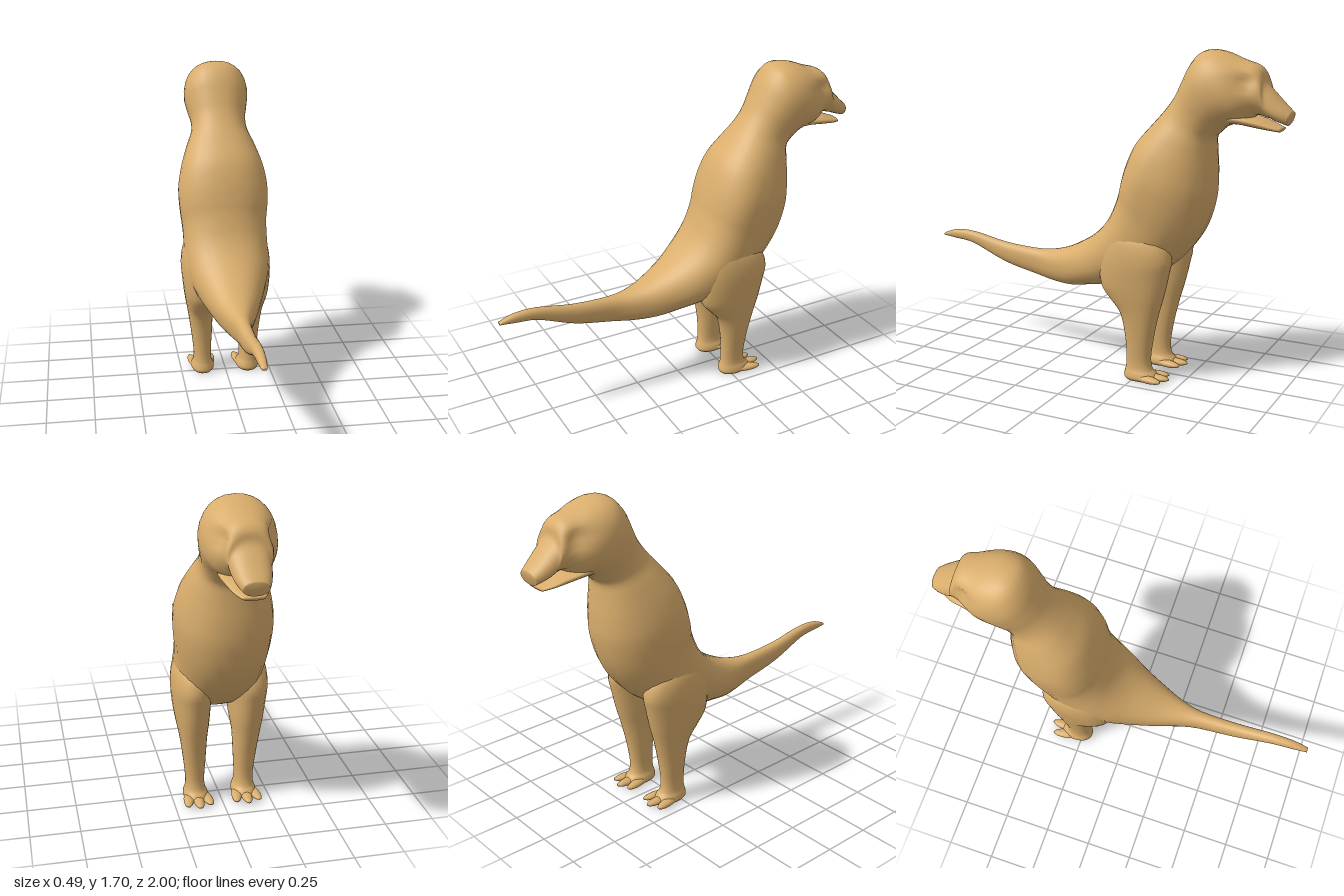
import * as THREE from 'three';

const SIDES = 28, STEPS = 4;

// Smooth skin through oval rings: [z, y of upper/back edge, z, y of lower/front edge,
// half width, where the widest point lies between the edges (0..1), x centre]
function loft(rings, deform) {
  const pts = [], index = [];
  const cr = (a, b, c, d, t) => 0.5 * (2 * b + (c - a) * t + (2 * a - 5 * b + 4 * c - d) * t * t + (3 * b - a - 3 * c + d) * t * t * t);
  const count = (rings.length - 1) * STEPS + 1;
  const at = i => rings[Math.max(0, Math.min(rings.length - 1, i))];
  const soft = v => Math.sign(v) * Math.pow(Math.abs(v), 0.9);
  const caps = [];
  for (let s = 0; s < count; s++) {
    const i = Math.floor(s / STEPS), t = (s % STEPS) / STEPS;
    const [zt, yt, zb, yb, w, bias, xc] = at(i).map((v, k) => cr(at(i - 1)[k], v, at(i + 1)[k], at(i + 2)[k], t));
    const cz = zt + (zb - zt) * bias, cy = yt + (yb - yt) * bias;
    for (let j = 0; j < SIDES; j++) {
      const a = j / SIDES * Math.PI * 2, c = soft(Math.cos(a)), k = Math.abs(c);
      const ez = c > 0 ? zt : zb, ey = c > 0 ? yt : yb;
      const p = new THREE.Vector3(xc + w * soft(Math.sin(a)), cy + (ey - cy) * k, cz + (ez - cz) * k);
      if (deform) deform(p);
      pts.push(p.x, p.y, p.z);
    }
    if (s === 0 || s === count - 1) caps.push([xc, cy, cz]);
  }
  for (let s = 0; s < count - 1; s++) for (let j = 0; j < SIDES; j++) {
    const a = s * SIDES + j, b = s * SIDES + (j + 1) % SIDES;
    index.push(a, b, a + SIDES, b, b + SIDES, a + SIDES);
  }
  // closed ends
  const first = count * SIDES, last = first + 1, end = (count - 1) * SIDES;
  pts.push(...caps[0], ...caps[1]);
  for (let j = 0; j < SIDES; j++) {
    const n = (j + 1) % SIDES;
    index.push(first, n, j, last, end + j, end + n);
  }
  const g = new THREE.BufferGeometry();
  g.setAttribute('position', new THREE.Float32BufferAttribute(pts, 3));
  g.setIndex(index);
  g.computeVertexNormals();
  return g;
}

// tail tip to neck
const bodyRings = [
  [1.0, 0.612, 1.0, 0.597, 0.014, 0.5, 0],
  [0.92, 0.638, 0.92, 0.588, 0.022, 0.5, 0],
  [0.8, 0.638, 0.8, 0.572, 0.027, 0.5, 0],
  [0.6, 0.602, 0.6, 0.492, 0.034, 0.45, 0],
  [0.4, 0.59, 0.4, 0.447, 0.043, 0.4, 0],
  [0.28, 0.602, 0.28, 0.425, 0.072, 0.4, 0],
  [0.17, 0.64, 0.16, 0.422, 0.115, 0.45, 0],
  [0.05, 0.71, 0.04, 0.445, 0.16, 0.5, 0],
  [-0.03, 0.78, -0.09, 0.47, 0.2, 0.5, 0],
  [-0.08, 0.85, -0.25, 0.51, 0.225, 0.5, 0],
  [-0.11, 0.92, -0.4, 0.6, 0.228, 0.45, 0],
  [-0.13, 0.98, -0.5, 0.7, 0.23, 0.4, 0],
  [-0.145, 1.04, -0.575, 0.82, 0.24, 0.36, 0],
  [-0.172, 1.13, -0.615, 0.96, 0.243, 0.38, 0],
  [-0.22, 1.235, -0.622, 1.08, 0.222, 0.4, 0],
  [-0.3, 1.33, -0.615, 1.2, 0.185, 0.45, 0],
  [-0.36, 1.4, -0.615, 1.27, 0.155, 0.5, 0]
];

// neck to snout tip, above the mouth
const headRings = [
  [-0.36, 1.4, -0.615, 1.27, 0.155, 0.5, 0],
  [-0.41, 1.47, -0.645, 1.305, 0.15, 0.5, 0],
  [-0.45, 1.55, -0.68, 1.335, 0.163, 0.5, 0],
  [-0.49, 1.63, -0.735, 1.355, 0.175, 0.48, 0],
  [-0.54, 1.687, -0.78, 1.365, 0.174, 0.5, 0],
  [-0.6, 1.702, -0.81, 1.385, 0.163, 0.5, 0],
  [-0.67, 1.69, -0.83, 1.4, 0.146, 0.48, 0],
  [-0.75, 1.66, -0.85, 1.4, 0.126, 0.42, 0],
  [-0.82, 1.638, -0.87, 1.395, 0.112, 0.42, 0],
  [-0.853, 1.605, -0.885, 1.39, 0.102, 0.5, 0],
  [-0.865, 1.555, -0.9, 1.388, 0.094, 0.6, 0],
  [-0.91, 1.507, -0.93, 1.375, 0.086, 0.6, 0],
  [-0.96, 1.458, -0.96, 1.365, 0.074, 0.55, 0],
  [-1.0, 1.422, -0.98, 1.357, 0.058, 0.5, 0]
];

const jawRings = [
  [-0.62, 1.42, -0.68, 1.345, 0.1, 0.5, 0],
  [-0.74, 1.405, -0.75, 1.352, 0.115, 0.4, 0],
  [-0.84, 1.385, -0.84, 1.339, 0.098, 0.4, 0],
  [-0.9, 1.364, -0.9, 1.331, 0.08, 0.4, 0],
  [-0.957, 1.344, -0.945, 1.325, 0.05, 0.5, 0]
];

// sole to hip
const legRings = [
  [-0.205, 0.006, -0.36, 0.006, 0.052, 0.5, 0.128],
  [-0.195, 0.022, -0.38, 0.022, 0.064, 0.5, 0.128],
  [-0.198, 0.045, -0.365, 0.045, 0.06, 0.5, 0.128],
  [-0.205, 0.075, -0.345, 0.07, 0.05, 0.5, 0.129],
  [-0.208, 0.13, -0.338, 0.13, 0.049, 0.5, 0.13],
  [-0.2, 0.25, -0.355, 0.25, 0.059, 0.5, 0.133],
  [-0.175, 0.36, -0.382, 0.37, 0.07, 0.5, 0.138],
  [-0.12, 0.43, -0.41, 0.47, 0.083, 0.5, 0.14],
  [-0.07, 0.5, -0.435, 0.58, 0.093, 0.5, 0.142],
  [-0.06, 0.64, -0.448, 0.66, 0.1, 0.5, 0.143],
  [-0.09, 0.76, -0.42, 0.74, 0.092, 0.5, 0.138],
  [-0.16, 0.86, -0.34, 0.82, 0.055, 0.5, 0.13]
];

// hollow eye sockets under the brow
function sinkEyes(p) {
  const d = ((p.z + 0.8) / 0.055) ** 2 + ((p.y - 1.565) / 0.035) ** 2;
  p.x *= 1 - 0.22 * Math.exp(-d);
}

export function createModel() {
  const group = new THREE.Group();
  const skin = new THREE.MeshStandardMaterial({ color: 0xd9ad6c });
  skin.name = 'tan skin';
  const add = (name, geometry, parent = group) => {
    const mesh = new THREE.Mesh(geometry, skin);
    mesh.name = name;
    parent.add(mesh);
    return mesh;
  };

  // trunk, neck and head share one continuous skin
  add('bodyAndHead', loft([...bodyRings, ...headRings.slice(1)], sinkEyes));
  add('lowerJaw', loft(jawRings));

  for (const side of [1, -1]) {
    const leg = new THREE.Group();
    leg.name = side > 0 ? 'leftLeg' : 'rightLeg';
    group.add(leg);
    add('legAndFoot', loft(legRings.map(r => [...r.slice(0, 6), r[6] * side])), leg);
    // three splayed toes
    for (const k of [-1, 0, 1]) {
      const toe = add('toe', new THREE.SphereGeometry(1, 16, 10), leg);
      toe.scale.set(0.028, 0.019, 0.085);
      toe.position.set(side * 0.127 + k * 0.045, 0.025, k ? -0.335 : -0.357);
      toe.rotation.y = -k * 0.2;
    }
  }
  return group;
}
